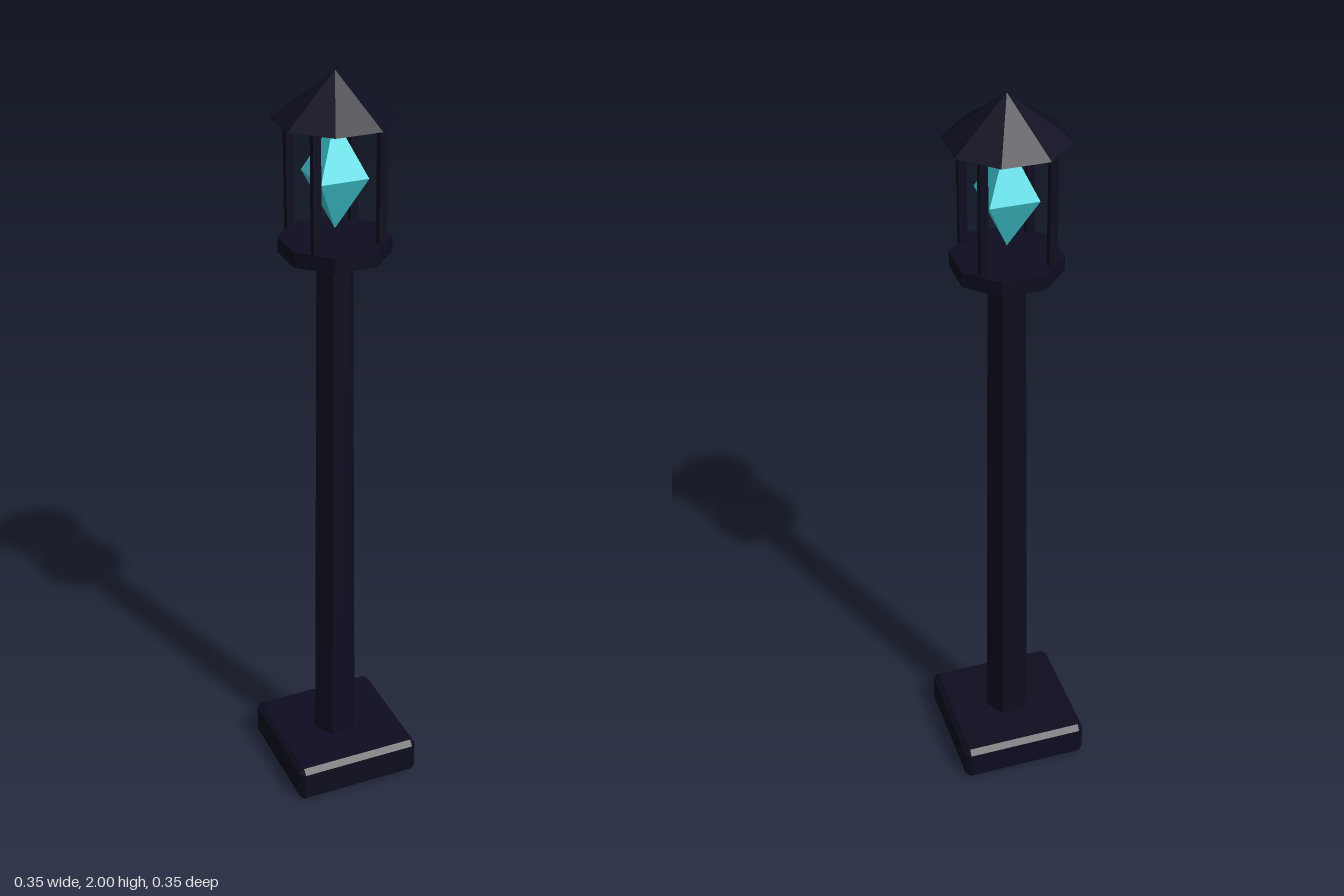
import * as THREE from 'three';
import { ConvexGeometry } from 'three/addons/geometries/ConvexGeometry.js';

// Box with every edge and corner cut by c
function chamferBox(w, h, d, c) {
  const half = [w / 2, h / 2, d / 2];
  const points = [];
  for (const sx of [-1, 1]) for (const sy of [-1, 1]) for (const sz of [-1, 1]) {
    for (let axis = 0; axis < 3; axis++) {
      const p = half.map((v, i) => (i === axis ? v : v - c));
      points.push(new THREE.Vector3(p[0] * sx, p[1] * sy, p[2] * sz));
    }
  }
  return new ConvexGeometry(points);
}

// Faceted prism or cone between two heights, turned so that flats face the axes
function prism(rTop, rBottom, y0, y1, sides, turn) {
  const g = new THREE.CylinderGeometry(rTop, rBottom, y1 - y0, sides).toNonIndexed();
  g.rotateY(turn);
  g.translate(0, (y0 + y1) / 2, 0);
  g.computeVertexNormals();
  return g;
}

export function createModel() {
  const iron = new THREE.MeshStandardMaterial({ color: 0x0d0d20 });
  iron.name = 'dark iron';
  const glow = new THREE.MeshStandardMaterial({ color: 0x45d8e2 });
  glow.name = 'turquoise crystal';
  iron.flatShading = glow.flatShading = true;

  const lamp = new THREE.Group();
  lamp.name = 'streetLamp';
  const add = (name, geometry, material = iron) => {
    const mesh = new THREE.Mesh(geometry, material);
    mesh.name = name;
    lamp.add(mesh);
    return mesh;
  };

  // Foot and tapered hexagonal pole
  add('base', chamferBox(0.35, 0.105, 0.35, 0.014)).position.y = 0.0525;
  add('pole', prism(0.049, 0.061, 0.1, 1.55, 6, Math.PI / 6));

  // Lantern: octagonal floor, four corner posts, octagonal roof
  add('lanternFloor', prism(0.14, 0.14, 1.547, 1.587, 8, Math.PI / 8));
  for (const x of [-1, 1]) for (const z of [-1, 1]) {
    add('lanternPost', new THREE.BoxGeometry(0.02, 0.304, 0.02))
      .position.set(x * 0.085, 1.737, z * 0.085);
  }
  add('roof', prism(0, 0.155, 1.886, 2, 8, Math.PI / 8));

  // Floating crystal: four-sided bipyramid with faces toward the axes
  const crystal = new THREE.OctahedronGeometry(1);
  crystal.rotateY(Math.PI / 4);
  crystal.scale(0.088, 0.138, 0.088);
  crystal.computeVertexNormals();
  add('crystal', crystal, glow).position.y = 1.746;

  return lamp;
}
